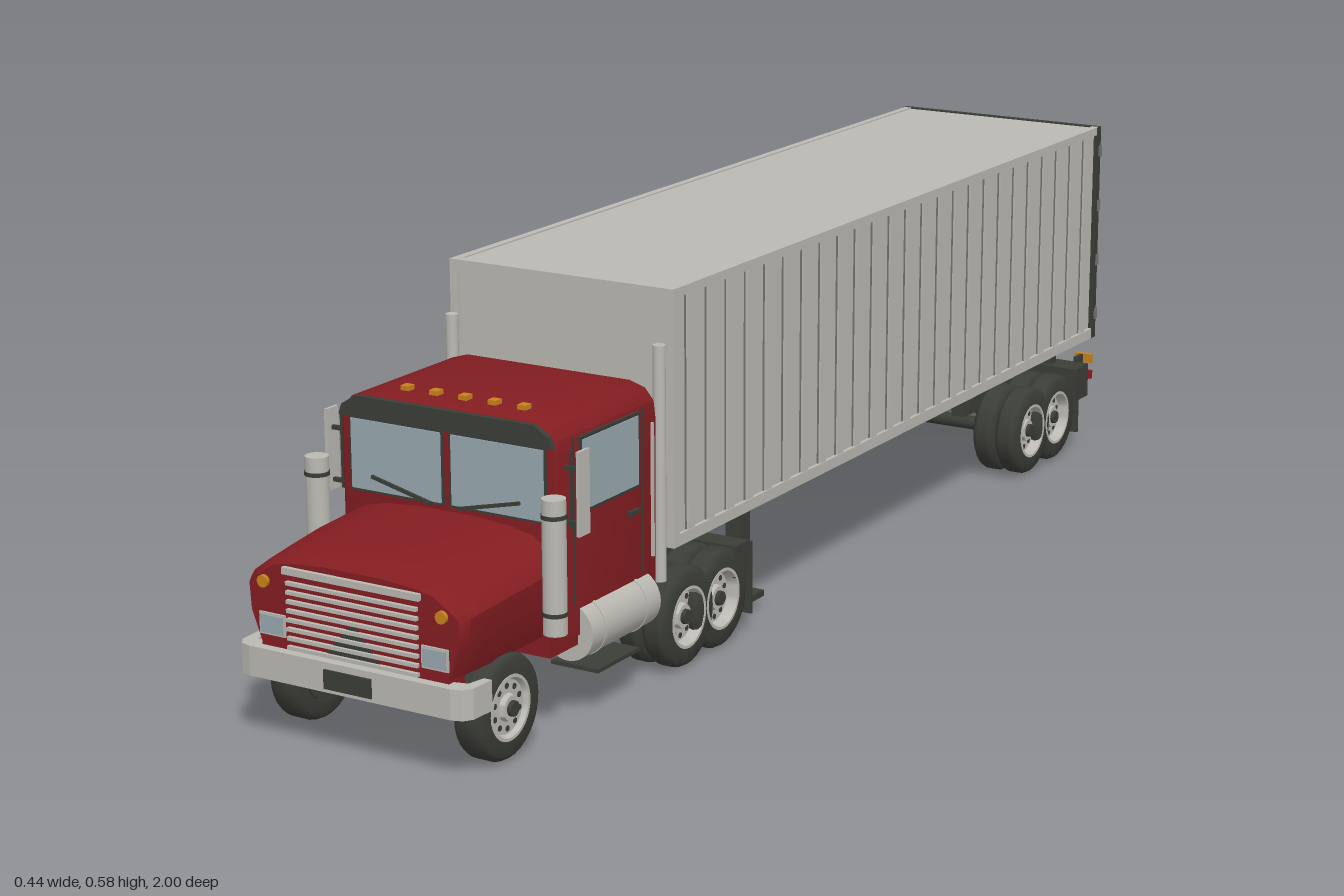
import * as THREE from 'three';
import { toCreasedNormals } from 'three/addons/utils/BufferGeometryUtils.js';

const paint = (name, color) => Object.assign(new THREE.MeshStandardMaterial({ color }), { name });

export function createModel() {
  const red = paint('cab red', 0x831d21), grey = paint('light grey', 0xbbb9b2), dark = paint('charcoal', 0x3b3d37);
  const steel = paint('mid grey', 0x757672), glass = paint('glass', 0x98a8ae), amber = paint('amber', 0xc9821c);
  const lamp = paint('tail lamp red', 0x8e1a1e);
  const truck = new THREE.Group();
  truck.name = 'semiTruck';

  const add = (name, geo, mat, x = 0, y = 0, z = 0, parent = truck) => {
    const m = new THREE.Mesh(geo, mat);
    m.name = name;
    m.position.set(x, y, z);
    parent.add(m);
    return m;
  };
  // box given by its limits on each axis
  const box = (name, mat, x0, x1, y0, y1, z0, z1) =>
    add(name, new THREE.BoxGeometry(Math.abs(x1 - x0), y1 - y0, Math.abs(z1 - z0)), mat, (x0 + x1) / 2, (y0 + y1) / 2, (z0 + z1) / 2);
  // the same box on both sides
  const pair = (name, mat, x0, x1, ...rest) => [1, -1].forEach(s => box(name, mat, s * x0, s * x1, ...rest));
  const post = (name, mat, r, x, y0, y1, z, n = 20) =>
    add(name, new THREE.CylinderGeometry(r, r, y1 - y0, n), mat, x, (y0 + y1) / 2, z);
  const shape = pts => new THREE.Shape(pts.map(p => new THREE.Vector2(...p)));
  const mirrored = pts => [...pts, ...pts.map(([x, y]) => [-x, y]).reverse()];

  // ---- wheels ----
  const wheel = (s, x, z, w, front) => {
    const g = new THREE.Group(), h = w / 2, d = front ? h - 0.006 : h - 0.016;
    g.name = front ? 'frontWheel' : 'rearWheel';
    const lathe = pts => toCreasedNormals(new THREE.LatheGeometry(pts.map(p => new THREE.Vector2(...p)), 32), 0.6);
    add('tyre', lathe([[0.047, -h], [0.068, -h], [0.074, -h + 0.004], [0.077, -h + 0.01], [0.077, h - 0.01],
      [0.074, h - 0.004], [0.068, h], [0.047, h], [0.047, -h]]), dark, 0, 0, 0, g);
    add('rim', lathe([[0.0475, -h], [0.0475, h + 0.001], [0.043, h + 0.001], [0.039, d], [0.02, d],
      [0.018, d + 0.008], [0, d + 0.008]]), grey, 0, 0, 0, g);
    add('hub', new THREE.CylinderGeometry(0.011, 0.012, 0.012, 16), dark, 0, d + 0.008, 0, g);
    add('drum', new THREE.CylinderGeometry(0.046, 0.046, 0.006, 24), dark, 0, -h + 0.002, 0, g);
    for (let i = 0; i < 10; i++) {
      const a = i * Math.PI / 5;
      add('rimHole', new THREE.CylinderGeometry(0.0045, 0.0045, 0.002, 8), dark, 0.031 * Math.cos(a), d, 0.031 * Math.sin(a), g);
    }
    g.position.set(s * x, 0.078, z);
    g.rotation.z = -s * Math.PI / 2;
    truck.add(g);
  };
  const axle = z => { add('axle', new THREE.CylinderGeometry(0.012, 0.012, 0.3, 14), dark, 0, 0.076, z).rotation.z = Math.PI / 2; };
  axle(0.87);
  [1, -1].forEach(s => wheel(s, 0.157, 0.87, 0.046, true));
  for (const z of [0.423, 0.325, -0.743, -0.845]) {
    axle(z);
    for (const s of [1, -1]) [0.174, 0.131].forEach(x => wheel(s, x, z, 0.039, false));
  }

  // ---- tractor chassis ----
  pair('chassisRail', dark, 0.05, 0.068, 0.1, 0.145, 0.26, 0.95);
  for (const z of [0.28, 0.375, 0.55, 0.7, 0.93]) box('crossMember', dark, -0.06, 0.06, 0.105, 0.14, z - 0.01, z + 0.01);
  box('frontSpringBeam', dark, -0.11, 0.11, 0.068, 0.095, 0.85, 0.89);
  box('fifthWheel', dark, -0.09, 0.09, 0.155, 0.185, 0.3, 0.44);
  box('kingpinPlate', dark, -0.06, 0.06, 0.14, 0.197, 0.33, 0.41);
  pair('tractorFlapArm', dark, 0.06, 0.195, 0.135, 0.15, 0.25, 0.265);
  pair('tractorMudFlap', dark, 0.112, 0.194, 0.03, 0.145, 0.238, 0.243);
  pair('tractorRearGuard', dark, 0.112, 0.194, 0.1, 0.15, 0.25, 0.29);

  // ---- fuel tanks and steps ----
  for (const s of [1, -1]) {
    add('fuelTank', new THREE.CylinderGeometry(0.044, 0.044, 0.18, 28), grey, s * 0.161, 0.134, 0.61).rotation.x = Math.PI / 2;
    for (const z of [0.555, 0.665])
      add('tankStrap', new THREE.CylinderGeometry(0.0452, 0.0452, 0.006, 28), grey, s * 0.161, 0.134, z).rotation.x = Math.PI / 2;
  }
  pair('step', dark, 0.11, 0.19, 0.065, 0.071, 0.555, 0.665);
  pair('stepHanger', dark, 0.11, 0.116, 0.068, 0.12, 0.58, 0.64);

  // ---- cab ----
  const cabOutline = mirrored([[0.176, 0.14], [0.178, 0.40], [0.175, 0.424], [0.163, 0.438], [0.14, 0.445]]);
  const cabGeo = new THREE.ExtrudeGeometry(shape(cabOutline), { depth: 0.246, bevelEnabled: true, bevelSize: 0.007, bevelThickness: 0.007, bevelSegments: 3 });
  add('cab', toCreasedNormals(cabGeo, 0.6), red, 0, 0, 0.502);
  pair('cabSill', red, 0.12, 0.183, 0.12, 0.16, 0.705, 0.775);
  const visorGeo = new THREE.ExtrudeGeometry(shape(mirrored([[0.182, 0.418], [0.176, 0.434], [0.152, 0.449]])), { depth: 0.009, bevelEnabled: false });
  add('sunVisor', visorGeo, dark, 0, 0, 0.754);
  pair('windscreenFrame', dark, 0.005, 0.168, 0.307, 0.418, 0.754, 0.757);
  pair('windscreen', glass, 0.009, 0.164, 0.311, 0.414, 0.756, 0.759);
  for (const x of [-0.075, 0.075])
    add('wiper', new THREE.BoxGeometry(0.106, 0.005, 0.004), dark, x, 0.321, 0.762).rotation.z = Math.sign(x) * 0.23;
  for (let i = -2; i <= 2; i++) box('roofLamp', amber, i * 0.05 - 0.007, i * 0.05 + 0.007, 0.45, 0.459, 0.7, 0.715);
  pair('sideWindowFrame', dark, 0.18, 0.1865, 0.31, 0.422, 0.545, 0.7);
  pair('sideWindow', glass, 0.181, 0.188, 0.315, 0.417, 0.55, 0.695);
  for (const z of [0.535, 0.715]) pair('doorSeam', dark, 0.18, 0.1857, 0.18, 0.425, z - 0.001, z + 0.001);
  pair('doorHandle', dark, 0.183, 0.19, 0.273, 0.28, 0.55, 0.575);
  pair('grabRail', grey, 0.19, 0.194, 0.2, 0.4, 0.518, 0.522);

  // ---- bonnet: cross-sections joined front to back ----
  const half = [[0.17, 0.15], [0.187, 0.2], [0.19, 0.248], [0.184, 0.258], [0.168, 0.27], [0.145, 0.287], [0.11, 0.295], [0.05, 0.3]];
  const ring = mirrored(half), n = ring.length, pos = [], idx = [];
  const stations = [[0.75, 1, 1], [0.86, 1, 0.96], [0.93, 0.985, 0.91], [0.965, 0.97, 0.87], [0.981, 0.93, 0.82]];
  for (const [z, sx, sy] of stations) for (const [x, y] of ring) pos.push(x * sx, 0.15 + (y - 0.15) * sy, z);
  for (let k = 0; k < stations.length - 1; k++) for (let i = 0; i < n; i++) {
    const a = k * n + i, b = k * n + (i + 1) % n;
    idx.push(a, b, b + n, a, b + n, a + n);
  }
  const last = (stations.length - 1) * n;
  for (let i = 1; i < n - 1; i++) idx.push(last, last + i, last + i + 1);
  const hood = new THREE.BufferGeometry();
  hood.setAttribute('position', new THREE.Float32BufferAttribute(pos, 3));
  hood.setIndex(idx);
  add('bonnet', toCreasedNormals(hood, 0.6), red);
  box('frontApron', red, -0.158, 0.158, 0.125, 0.16, 0.945, 0.981);

  // grille, lamps and bumper
  add('grilleBacking', new THREE.ShapeGeometry(shape([[-0.05, 0.145], [0.05, 0.145], [0, 0.203]])), dark, 0, 0, 0.9825);
  box('grilleTopBar', grey, -0.115, 0.115, 0.254, 0.264, 0.975, 0.988);
  for (let i = 0; i < 8; i++) {
    const y = 0.148 + i * 0.0133;
    box('grilleBar', grey, -0.11, 0.11, y - 0.0027, y + 0.0027, 0.978, 0.987);
  }
  pair('headlampFrame', grey, 0.115, 0.159, 0.16, 0.192, 0.978, 0.984);
  pair('headlamp', glass, 0.118, 0.156, 0.163, 0.189, 0.98, 0.986);
  for (const s of [1, -1])
    add('indicator', new THREE.CylinderGeometry(0.009, 0.009, 0.01, 16), amber, s * 0.15, 0.237, 0.982).rotation.x = Math.PI / 2;
  const bumperPlan = mirrored([[0.15, 0.972], [0.178, 0.965], [0.184, 0.937], [0.197, 0.937], [0.195, 0.978], [0.186, 0.991], [0.17, 0.996]]);
  // straight back edge and front edge close the plan between the mirrored halves
  const bumper = new THREE.ExtrudeGeometry(shape(bumperPlan), { depth: 0.044, bevelEnabled: false });
  bumper.rotateX(Math.PI / 2);
  add('bumper', bumper, grey, 0, 0.143, 0);
  box('bumperPlate', dark, -0.04, 0.04, 0.105, 0.133, 0.99, 0.999);

  // ---- air cleaners, mirrors and exhaust stacks ----
  for (const s of [1, -1]) {
    post('airCleaner', grey, 0.0172, s * 0.202, 0.165, 0.36, 0.79, 24);
    for (const y of [0.195, 0.335]) post('airCleanerBand', dark, 0.0185, s * 0.202, y - 0.003, y + 0.003, 0.79, 24);
    box('airCleanerBracket', dark, s * 0.17, s * 0.2, 0.23, 0.245, 0.765, 0.785);
    box('mirror', grey, s * 0.2125, s * 0.2175, 0.295, 0.417, 0.723, 0.75);
    box('mirrorPost', dark, s * 0.194, s * 0.198, 0.3, 0.415, 0.735, 0.739);
    for (const y of [0.31, 0.388]) box('mirrorArm', dark, s * 0.18, s * 0.215, y - 0.003, y + 0.003, 0.734, 0.74);
    post('exhaustStack', grey, 0.0095, s * 0.181, 0.15, 0.505, 0.483);
  }
  for (const x of [0.06, 0.145]) pair('trailerFrontUnit', dark, x - 0.016, x + 0.016, 0.2, 0.4, 0.468, 0.495);

  // ---- trailer box ----
  const back = -0.985, nose = 0.46;
  box('trailerBody', grey, -0.189, 0.189, 0.2, 0.582, back, nose);
  pair('topRail', grey, 0.182, 0.195, 0.57, 0.584, back, nose);
  pair('bottomRail', grey, 0.182, 0.195, 0.196, 0.214, back, nose);
  box('noseTopRail', grey, -0.19, 0.19, 0.573, 0.584, 0.45, 0.466);
  pair('nosePost', grey, 0.181, 0.195, 0.196, 0.584, 0.45, 0.466);
  for (let i = 0; i < 25; i++) {
    const z = nose - 0.045 - i * 0.0565;
    pair('sideRib', grey, 0.186, 0.194, 0.21, 0.573, z - 0.009, z + 0.009);
    pair('ribSeam', steel, 0.186, 0.1905, 0.214, 0.57, z - 0.012, z + 0.012);
  }
  // rear frame and doors
  pair('rearPost', dark, 0.186, 0.196, 0.196, 0.584, -0.993, -0.978);
  box('rearHeader', dark, -0.19, 0.19, 0.577, 0.584, -0.993, -0.982);
  box('rearSill', dark, -0.19, 0.19, 0.196, 0.204, -0.993, -0.982);
  pair('rearDoor', grey, 0.003, 0.185, 0.206, 0.575, -0.991, -0.984);
  box('doorGap', dark, -0.003, 0.003, 0.204, 0.577, -0.989, -0.984);
  for (const x of [0.022, 0.062]) pair('lockRod', dark, x - 0.004, x + 0.004, 0.204, 0.577, -0.996, -0.99);
  pair('lockHandle', dark, 0.022, 0.062, 0.3, 0.306, -0.997, -0.991);
  for (const y of [0.24, 0.34, 0.44, 0.54]) pair('doorHinge', steel, 0.172, 0.197, y - 0.01, y + 0.01, -0.997, -0.985);

  // ---- landing gear ----
  pair('landingLeg', dark, 0.11, 0.138, 0.025, 0.2, 0.151, 0.178);
  pair('landingFoot', dark, 0.094, 0.154, 0.02, 0.03, 0.134, 0.196);
  box('landingBrace', dark, -0.12, 0.12, 0.16, 0.172, 0.16, 0.17);

  // ---- trailer bogie, flaps and tail lamps ----
  pair('bogieSide', dark, 0.085, 0.105, 0.155, 0.197, -0.92, -0.67);
  pair('bogieRail', dark, 0.06, 0.085, 0.1, 0.16, -0.96, -0.69);
  for (const z of [-0.69, -0.795, -0.94]) box('bogieCrossBar', dark, -0.1, 0.1, 0.115, 0.135, z - 0.01, z + 0.01);
  box('rearBar', dark, -0.19, 0.19, 0.105, 0.125, -0.965, -0.95);
  pair('rearGuard', dark, 0.108, 0.195, 0.09, 0.15, -0.97, -0.918);
  pair('guardHanger', dark, 0.12, 0.14, 0.15, 0.197, -0.95, -0.93);
  pair('trailerMudFlap', dark, 0.11, 0.195, 0.03, 0.15, -0.933, -0.928);
  pair('lampBracket', dark, 0.168, 0.174, 0.12, 0.16, -0.993, -0.965);
  pair('rearIndicator', amber, 0.158, 0.19, 0.145, 0.161, -1, -0.992);
  pair('tailLamp', lamp, 0.158, 0.19, 0.115, 0.13, -1, -0.992);
  return truck;
}
